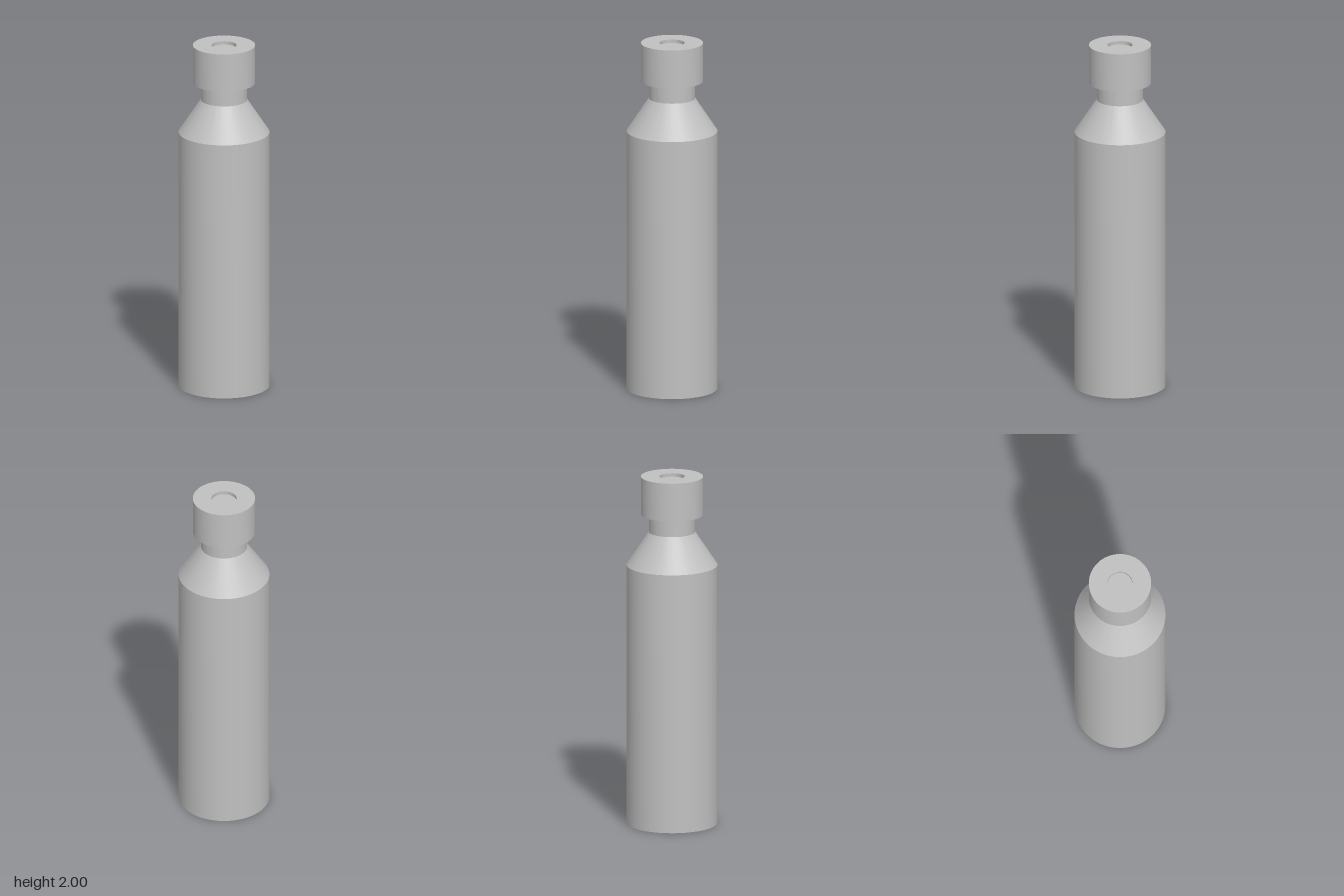
import * as THREE from 'three';
import { toCreasedNormals } from 'three/addons/utils/BufferGeometryUtils.js';

const SEGMENTS = 96;

// Revolve a [radius, height] profile, keeping its corners sharp
function turned(name, profile, material) {
  const points = profile.map(([r, y]) => new THREE.Vector2(r, y));
  const geometry = toCreasedNormals(new THREE.LatheGeometry(points, SEGMENTS), 0.3);
  const mesh = new THREE.Mesh(geometry, material);
  mesh.name = name;
  return mesh;
}

export function createModel() {
  const grey = new THREE.MeshStandardMaterial({ color: 0xc0c0c0 });
  grey.name = 'plain grey';

  const model = new THREE.Group();
  model.name = 'bottle';

  // Hollow body, open underneath: outside going up, then inside going down
  model.add(turned('body', [
    [0.215, 0], [0.255, 0], [0.255, 1.49], [0.13, 1.68], [0.13, 1.78],
    [0.09, 1.78], [0.09, 1.67], [0.215, 1.48], [0.215, 0],
  ], grey));

  // Cap with a shallow round recess in its top
  model.add(turned('cap', [
    [0, 1.78], [0.175, 1.78], [0.175, 2], [0.07, 2], [0.07, 1.98], [0, 1.98],
  ], grey));

  return model;
}
